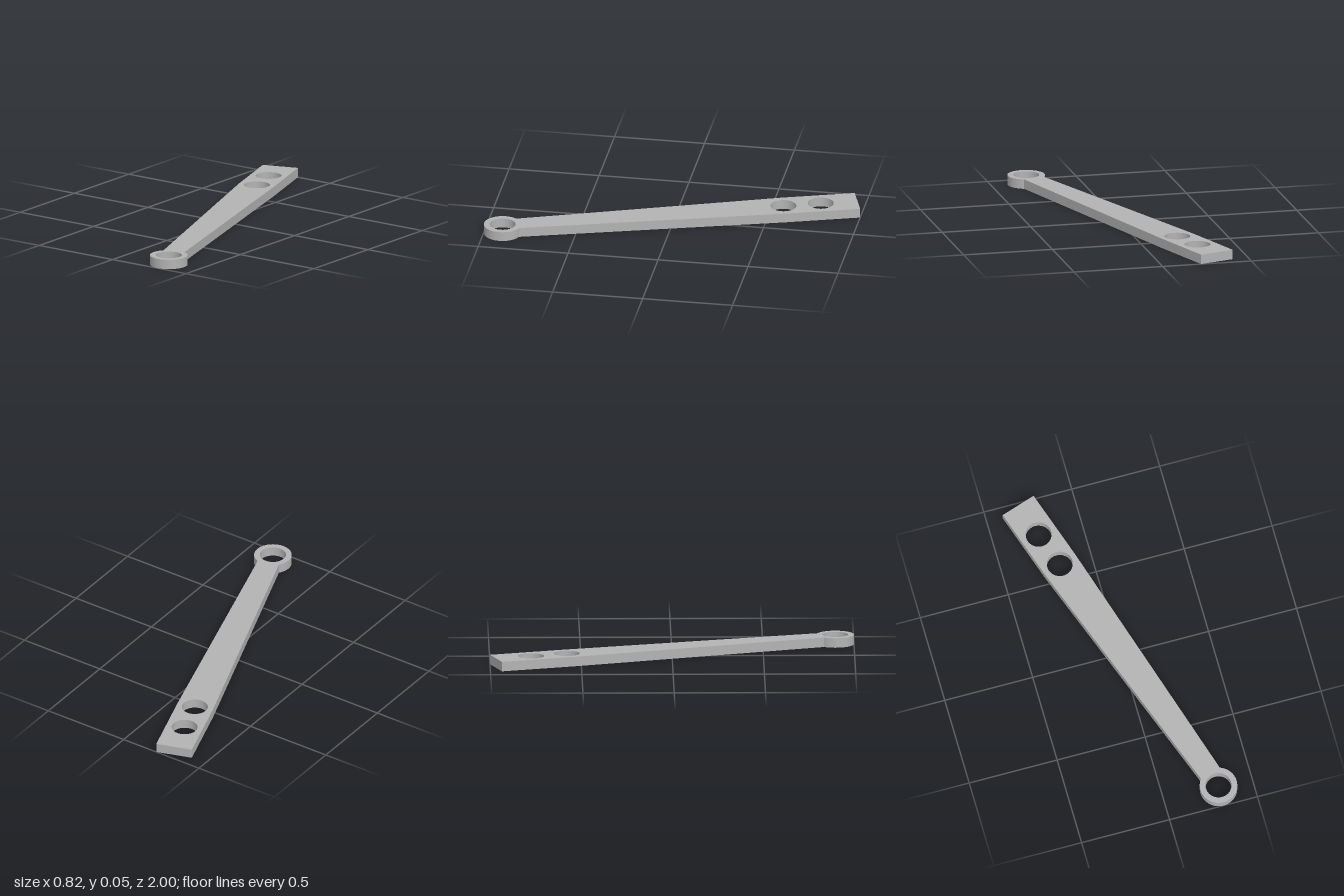
import * as THREE from 'three';
import { toCreasedNormals } from 'three/addons/utils/BufferGeometryUtils.js';

const THICKNESS = 0.053;
const HOLE_RADIUS = 0.071;
const EYE = { x: 0.307, z: 0.897, radius: 0.103 };
const BOLT_HOLES = [[-0.251, -0.775], [-0.185, -0.579]];

export function createModel() {
  const group = new THREE.Group();
  group.name = 'leverArm';
  const metal = new THREE.MeshStandardMaterial({ color: 0xb3b3b3 });
  metal.name = 'grey metal';

  // Plan outline, drawn with shape y = -z: square end, taper, round eye
  const outline = new THREE.Shape();
  outline.moveTo(-0.217, 1.0);
  outline.lineTo(-0.41, 0.937);
  outline.lineTo(-0.281, 0.543);
  outline.absarc(EYE.x, -EYE.z, EYE.radius,
    THREE.MathUtils.degToRad(143), THREE.MathUtils.degToRad(360 + 70.5), false);
  outline.lineTo(-0.087, 0.605);
  outline.closePath();

  // Two bolt holes and the eye bore
  for (const [x, z] of [...BOLT_HOLES, [EYE.x, EYE.z]]) {
    const hole = new THREE.Path();
    hole.absarc(x, -z, HOLE_RADIUS, 0, Math.PI * 2, true);
    outline.holes.push(hole);
  }

  // Extrude upwards from the ground, keeping only the round walls smooth
  const extruded = new THREE.ExtrudeGeometry(outline, {
    depth: THICKNESS, bevelEnabled: false, curveSegments: 64,
  });
  extruded.rotateX(-Math.PI / 2);
  const arm = new THREE.Mesh(toCreasedNormals(extruded, Math.PI / 9), metal);
  arm.name = 'arm';
  group.add(arm);
  return group;
}
